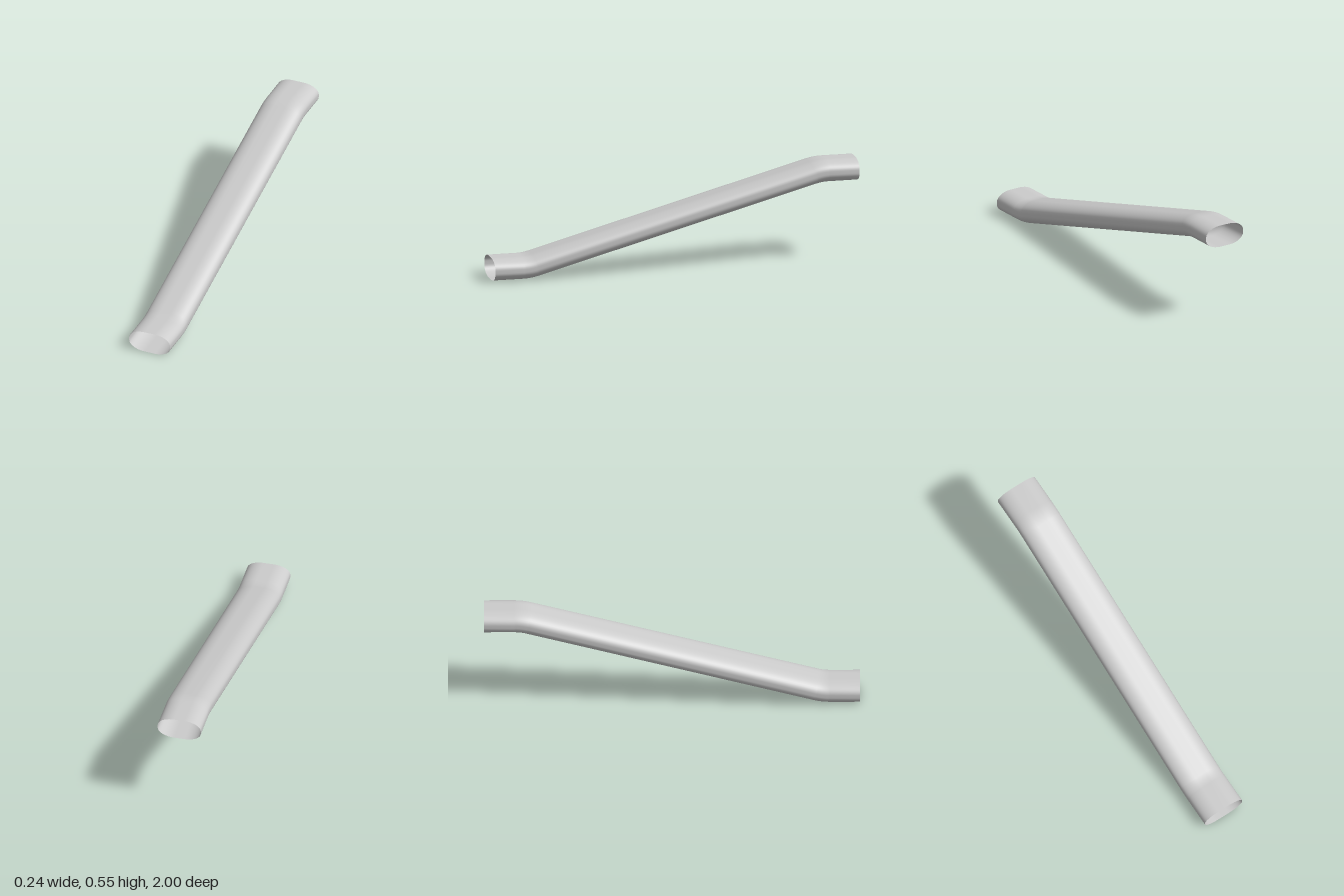
import * as THREE from 'three';

// Flattened oval cross-section: quarter-ellipse corners joined by short flats
function ovalSection(halfW, halfH, flatX, flatY, steps) {
  const pts = [];
  for (let q = 0; q < 4; q++) {
    const sx = q === 0 || q === 3 ? 1 : -1;
    const sy = q < 2 ? 1 : -1;
    for (let i = 0; i <= steps; i++) {
      const a = (q + i / steps) * Math.PI / 2;
      pts.push([
        sx * flatX + (halfW - flatX) * Math.cos(a),
        sy * flatY + (halfH - flatY) * Math.sin(a),
      ]);
    }
  }
  return pts;
}

// Centre line as [z, y, slope angle]: level, rounded bend, ramp, rounded bend, level
function ductPath() {
  const lowY = 0.06, highY = 0.49, bendZ = 0.8, steps = 8;
  const slope = Math.atan2(highY - lowY, 2 * bendZ);
  const radius = 0.3;
  const startZ = bendZ + radius * Math.tan(slope / 2);
  const lower = [[1, lowY, 0]];
  for (let i = 0; i <= steps; i++) {
    const a = slope * i / steps;
    lower.push([startZ - radius * Math.sin(a), lowY + radius * (1 - Math.cos(a)), a]);
  }
  // The upper half is the lower half turned by 180 degrees
  const upper = lower.map(([z, y, a]) => [-z, lowY + highY - y, a]).reverse();
  return [...lower, ...upper];
}

// Sweep the section along the path, leaving both ends open
function sweep(section, path) {
  const n = section.length, positions = [], indices = [];
  path.forEach(([z, y, a], i) => {
    for (const [u, v] of section) {
      positions.push(u, y + v * Math.cos(a), z + v * Math.sin(a));
    }
    if (i === 0) return;
    for (let j = 0; j < n; j++) {
      const k = (j + 1) % n, p = (i - 1) * n, c = i * n;
      indices.push(p + j, c + j, p + k, p + k, c + j, c + k);
    }
  });
  const geometry = new THREE.BufferGeometry();
  geometry.setAttribute('position', new THREE.Float32BufferAttribute(positions, 3));
  geometry.setIndex(indices);
  geometry.computeVertexNormals();
  return geometry;
}

export function createModel() {
  const group = new THREE.Group();
  group.name = 'offsetDuct';
  const material = new THREE.MeshStandardMaterial({ color: 0xcccccc, side: THREE.DoubleSide });
  const duct = new THREE.Mesh(sweep(ovalSection(0.118, 0.06, 0.03, 0.008, 10), ductPath()), material);
  duct.name = 'ductShell';
  group.add(duct);
  return group;
}
